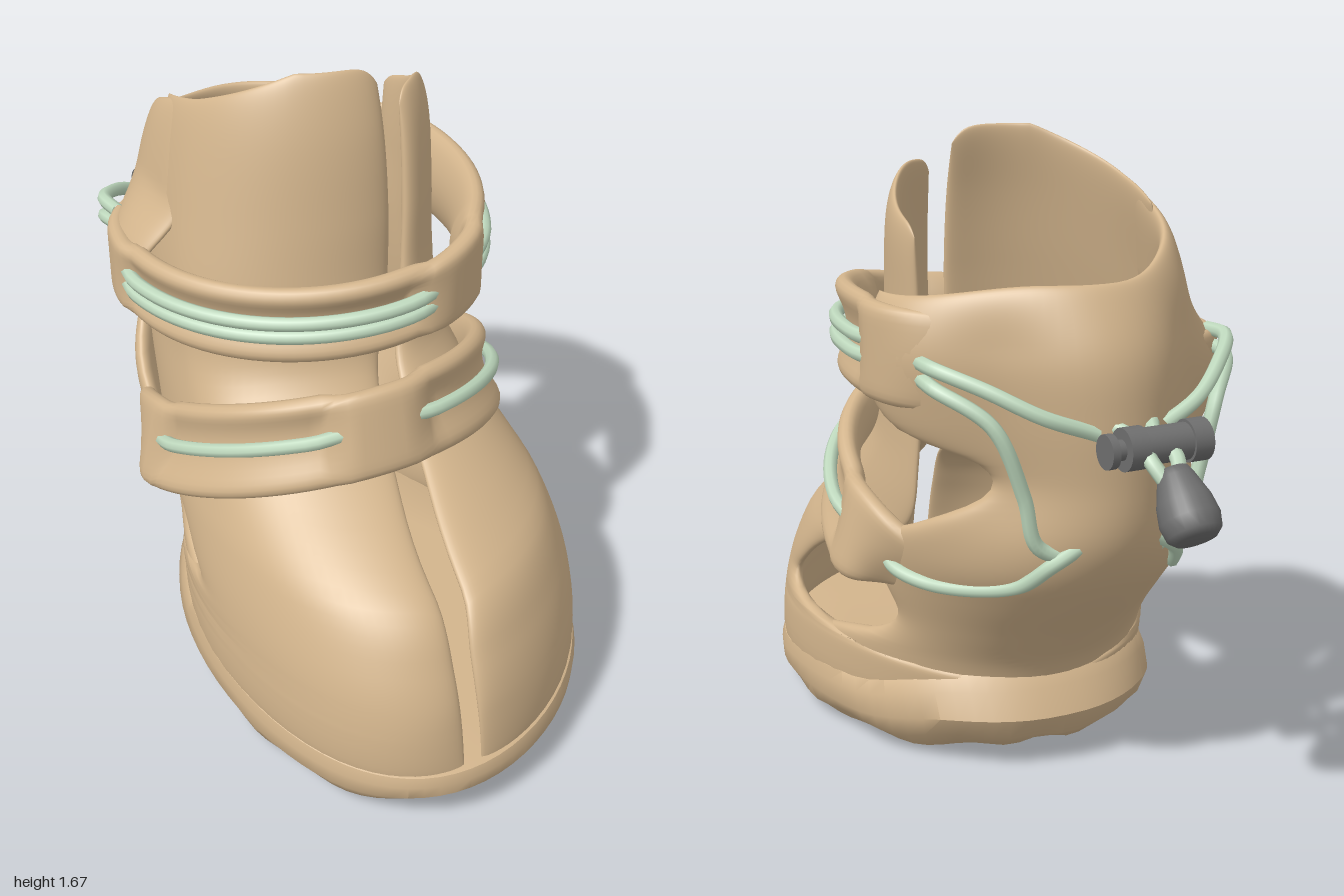
import * as THREE from 'three';
import { mergeVertices, toCreasedNormals } from 'three/addons/utils/BufferGeometryUtils.js';

const tan = new THREE.MeshStandardMaterial({ color: 0xd2b48c }); tan.name = 'tan shell';
const mint = new THREE.MeshStandardMaterial({ color: 0xbfd9be }); mint.name = 'mint cord';
const grey = new THREE.MeshStandardMaterial({ color: 0x6e6e6e }); grey.name = 'grey plastic';
const V = (x, y, z) => new THREE.Vector3(x, y, z);
const clamp = THREE.MathUtils.clamp;
const step = THREE.MathUtils.smoothstep;
const rad = Math.PI / 180;

// Smooth lookup in a table whose rows are [key, value, value, ...]
function sample(rows, k) {
  const n = rows.length - 1;
  k = clamp(k, rows[0][0], rows[n][0]);
  let i = 0;
  while (i < n - 1 && k > rows[i + 1][0]) i++;
  const a = rows[i], b = rows[i + 1], d = b[0] - a[0], t = (k - a[0]) / d;
  const slope = (j, c) => {
    const p = rows[Math.max(j - 1, 0)], q = rows[Math.min(j + 1, n)];
    return (q[c] - p[c]) / (q[0] - p[0]) * d;
  };
  return a.slice(1).map((v, c) => {
    const m0 = slope(i, c + 1), m1 = slope(i + 1, c + 1), w = b[c + 1];
    return (2 * t ** 3 - 3 * t * t + 1) * v + (t ** 3 - 2 * t * t + t) * m0 +
      (3 * t * t - 2 * t ** 3) * w + (t ** 3 - t * t) * m1;
  });
}

// Horizontal slices: y, centre x, half width, centre z, front reach, back reach, toe skew
const FOOT = [
  [0.14, 0, 0.5, 0.38, 0.6, 0.66, -0.12], [0.3, 0, 0.487, 0.36, 0.59, 0.68, -0.12],
  [0.42, 0, 0.472, 0.32, 0.585, 0.72, -0.11], [0.54, 0, 0.445, 0.25, 0.58, 0.75, -0.09],
  [0.6, 0, 0.425, 0.2, 0.52, 0.76, -0.07], [0.68, 0, 0.4, 0.12, 0.43, 0.72, -0.03],
  [0.76, 0, 0.385, 0.05, 0.35, 0.66, 0], [0.9, 0, 0.36, -0.06, 0.31, 0.6, 0.03],
  [1.1, 0, 0.35, -0.1, 0.31, 0.52, 0.04], [1.3, 0.02, 0.335, -0.14, 0.33, 0.46, 0.04],
  [1.5, 0.045, 0.315, -0.16, 0.32, 0.42, 0.02], [1.68, 0.06, 0.28, -0.16, 0.27, 0.38, 0]];
const HEEL = [
  [0.14, 0, 0.48, 0.38, 0.6, 0.64, 0], [0.3, 0, 0.475, 0.36, 0.6, 0.66, 0],
  [0.42, 0, 0.46, 0.32, 0.6, 0.71, 0], [0.54, 0, 0.455, 0.25, 0.6, 0.75, 0],
  [0.65, 0, 0.45, 0.12, 0.5, 0.71, 0], [0.75, 0, 0.445, 0, 0.5, 0.64, 0],
  [0.9, 0, 0.44, -0.1, 0.5, 0.56, 0], [1.05, 0.01, 0.455, -0.15, 0.5, 0.52, 0],
  [1.2, 0.02, 0.46, -0.18, 0.5, 0.48, 0], [1.37, 0.03, 0.4, -0.2, 0.5, 0.39, 0],
  [1.6, 0.04, 0.35, -0.2, 0.4, 0.35, 0]];

function around(table, th, y, scale = 1) {
  const [cx, rx, cz, rf, rb, skew] = sample(table, y), c = Math.cos(th);
  return V(cx + scale * rx * Math.sin(th) + skew * Math.max(c, 0) ** 2, y, cz + scale * c * (c > 0 ? rf : rb));
}
// Heel shell, pinched on both sides of the spine
function heelPoint(th, y) {
  const a = clamp((Math.acos(Math.cos(th)) - 105 * rad) / (75 * rad), 0, 1);
  const pinch = Math.sin(Math.PI * a) ** 2 * step(y, 0.6, 0.9) * (1 - 0.5 * step(y, 1.2, 1.37));
  return around(HEEL, th, y, 1 - 0.14 * pinch);
}
// Angle on a slice at which it reaches depth z
function angleAt(table, y, z) {
  const [, , cz, rf, rb] = sample(table, y);
  return Math.acos(clamp((z - cz) / (z > cz ? rf : rb), -1, 1));
}

// Closed sheet of half thickness h around the surface P(s, t), with rounded borders
function panel(name, P, h, ns, nt) {
  const pos = [], idx = [], e = 1e-3, size = (ns + 1) * (nt + 1);
  const ease = (i, n) => (1 - Math.cos(Math.PI * i / n)) / 2;
  const round = s => Math.sqrt(Math.max(0, 1 - Math.abs(2 * s - 1) ** 10));
  for (const side of [1, -1]) for (let j = 0; j <= nt; j++) for (let i = 0; i <= ns; i++) {
    const s = ease(i, ns), t = ease(j, nt);
    const ds = P(Math.min(s + e, 1), t).sub(P(Math.max(s - e, 0), t));
    const dt = P(s, Math.min(t + e, 1)).sub(P(s, Math.max(t - e, 0)));
    const edge = i % ns === 0 || j % nt === 0 ? 0 : round(s) * round(t);
    pos.push(...P(s, t).addScaledVector(ds.cross(dt).normalize(), side * h * edge).toArray());
  }
  for (let j = 0; j < nt; j++) for (let i = 0; i < ns; i++) {
    const a = j * (ns + 1) + i, b = a + 1, d = a + ns + 1, c = d + 1, k = size;
    idx.push(a, b, c, a, c, d, a + k, c + k, b + k, a + k, d + k, c + k);
  }
  return finish(name, pos, idx);
}
function finish(name, pos, idx, crease) {
  let g = new THREE.BufferGeometry();
  g.setAttribute('position', new THREE.Float32BufferAttribute(pos, 3));
  g.setIndex(idx);
  g = mergeVertices(g, 1e-5);
  g.computeVertexNormals();
  if (crease) g = toCreasedNormals(g, crease);
  return named(name, g, tan);
}
function named(name, geometry, material) {
  const m = new THREE.Mesh(geometry, material);
  m.name = name;
  return m;
}
const cord = (name, pts) =>
  named(name, new THREE.TubeGeometry(new THREE.CatmullRomCurve3(pts), 56, 0.019, 8), mint);

// Sole: rings from the bottom centre, out around the wall and over the top
function sole() {
  const N = 72, pos = [], idx = [];
  const rings = [[0, 0], [0.25, 0], [0.5, 0], [0.7, 0], [0.87, 0], [0.96, 0.2], [1, 0.45], [1.005, 0.75],
    [0.99, 0.95], [0.965, 1], [0.6, 1], [0, 1]];
  for (const [k, lift] of rings) for (let i = 0; i < N; i++) {
    const th = i / N * 2 * Math.PI, c = Math.cos(th), s = Math.sin(th);
    const back = c < 0 ? 0.75 - 0.07 * step(lift, 0.4, 1) : 0.62;
    const x = k * (0.515 * Math.sign(s) * Math.abs(s) ** (c < 0 ? 0.9 : 1) - 0.12 * Math.max(c, 0) ** 2);
    const z = 0.38 + k * c * back;
    const top = 0.165 + 0.03 * step(-z, -0.6, 0) + 0.09 * step(-z, -0.05, 0.27);
    const low = 0.03 * step(z, 0.75, 1) + 0.035 * step(-z, 0.05, 0.35);
    const wave = k < 0.98 && lift < 0.3 ? Math.sin(z * 21 + 3 * Math.sin(x * 7)) * Math.cos(x * 13) : 0;
    const bottom = low + 0.015 * (1 + wave);
    pos.push(x, Math.max(0, bottom + (top - bottom) * lift), z);
  }
  for (let j = 0; j < rings.length - 1; j++) for (let i = 0; i < N; i++) {
    const a = j * N + i, b = j * N + (i + 1) % N;
    idx.push(a, b, b + N, a, b + N, a + N);
  }
  return finish('sole', pos, idx, 0.7);
}

// Front halves: vamp rising into an ankle flap, parted by a slanting slit; the right one reaches further back
const SLIT = [[0.14, -0.145, 0.026], [0.45, -0.135, 0.028], [0.6, -0.095, 0.04], [0.75, 0.005, 0.04],
  [0.95, 0.085, 0.03], [1.15, 0.125, 0.03], [1.7, 0.14, 0.035]];
const LEFT_OPENING = [[0.14, -0.28], [0.24, -0.28], [0.28, -0.15], [0.315, 0.25], [0.36, 0.42], [0.42, 0.39],
  [0.54, 0.2], [0.61, -0.05], [0.7, -0.17], [0.85, -0.2], [1.7, -0.22]];
const RIGHT_OPENING = [[0.14, -0.28], [0.27, -0.28], [0.3, -0.1], [0.34, 0.16], [0.41, 0.1], [0.48, 0.0],
  [0.55, -0.15], [0.65, -0.25], [0.8, -0.36], [1.2, -0.36], [1.7, -0.33]];
function frontHalf(side) {
  const P = (s, t) => {
    const q = side > 0 ? s : 1 - s;
    const corner = Math.abs(2 * q - 1) ** 12;
    const top = side > 0 ? 1.595 - 0.11 * step(q, 0.2, 1) - 0.04 * corner
      : 1.675 - 0.17 * clamp((q - 0.35) / 0.65, 0, 1) - (q < 0.5 ? 0.05 * corner : 0);
    const y = 0.14 + (top - 0.14) * t;
    const [cx, rx, , , , skew] = sample(FOOT, y), [sx, gap] = sample(SLIT, y);
    const start = Math.asin(clamp((sx + side * gap - cx - skew) / rx, -1, 1));
    const end = side * angleAt(FOOT, y, sample(side > 0 ? LEFT_OPENING : RIGHT_OPENING, y)[0]);
    return around(FOOT, start + (end - start) * q, y);
  };
  return panel(side > 0 ? 'leftVampAndFlap' : 'rightVampAndFlap', P, 0.022, 40, 90);
}

// Heel counter, waisted between the straps; its right rim runs into the right flap
const LEFT_EDGE = [[0.18, 0.3], [0.3, 0.2], [0.345, 0], [0.42, -0.1], [0.55, -0.08], [0.66, -0.12], [0.74, -0.3],
  [0.84, -0.49], [0.93, -0.47], [1.01, -0.25], [1.1, -0.18], [1.6, -0.24]];
const RIGHT_EDGE = [[0.18, 0.3], [0.32, 0.15], [0.36, 0], [0.43, -0.08], [0.55, -0.08], [0.66, -0.12],
  [0.74, -0.26], [0.84, -0.4], [0.93, -0.4], [1.01, -0.25], [1.1, -0.18], [1.6, -0.24]];
function heelCounter() {
  const P = (s, t) => {
    const top = 1.37 + (s > 0.5 ? 0.17 * step(s, 0.52, 1.05) : -0.05 * step(1 - s, 0.6, 1));
    const y = 0.18 + (top - 0.18) * t;
    const half = Math.PI - angleAt(HEEL, y, sample(s > 0.5 ? RIGHT_EDGE : LEFT_EDGE, y)[0]);
    const th = Math.PI + (2 * s - 1) * half;
    return heelPoint(th, y).lerp(around(FOOT, th, y), step(s, 0.6, 0.95) * step(y, 1.08, 1.3));
  };
  return panel('heelCounter', P, 0.03, 64, 70);
}

// Straps: a band at angle th and height v (-1..1), hollowed where the cord lies, ending in the heel shell
const groove = (th, bridge, half, end) =>
  step(Math.abs(th - bridge * rad), half * rad, (half + 8) * rad) * (1 - step(Math.abs(th), (end - 8) * rad, end * rad));
const intoHeel = (p, th, from) => p.lerp(heelPoint(th, p.y), step(Math.abs(th), from * rad, 126 * rad));
function upperStrap(th, v, hollow = 0.045) {
  const c = Math.cos(th), s = Math.sin(th);
  const r = 1 - hollow * 2 * groove(th, 17, 11, 98) * (1 - v * v);
  return intoHeel(V(0.02 + r * (0.468 * s + 0.05 * Math.max(c, 0) ** 2),
    1.13 + 0.055 * s + v * (0.1 + 0.025 * Math.max(s, 0)), -0.17 + r * c * (c > 0 ? 0.55 : 0.47)), th, 104);
}
function lowerStrap(th, v, hollow = 0.045) {
  const c = Math.cos(th), s = Math.sin(th), z = c * (c > 0 ? 0.5 : 0.62);
  const r = 1 - hollow * 2 * groove(th, -10, 11, 93) * (1 - v * v);
  const half = (0.112 + 0.015 * s * s) * (1 - 0.35 * step(Math.abs(th), 90 * rad, 125 * rad));
  return intoHeel(V(r * 0.48 * s - 0.03 * Math.max(c, 0) ** 2 - v * 0.03 * s,
    0.67 + (z > 0 ? 0.42 : 0.22) * z + v * half, r * z - 0.03 * v * Math.max(c, 0)), th, 92);
}
const strap = (name, f) =>
  panel(name, (s, t) => f((2 * s - 1) * 132 * rad, 2 * t - 1), 0.028, 100, 16);
function strapCord(name, f, v, reach) {
  const pts = [];
  for (let i = -12; i <= 12; i++) {
    const a = i / 12 * reach * rad;
    // Rides high in the grooves and dips into the holes at both ends
    pts.push(f(a, v, -0.012 + 0.03 * step(Math.abs(a), (reach - 9) * rad, reach * rad)));
  }
  return cord(name, pts);
}

// Point off the heel counter at height y and depth z
function onHeel(side, y, z, off = 0.035) {
  const p = around(HEEL, side * angleAt(HEEL, y, z), y);
  return p.addScaledVector(V(p.x, 0, p.z + 0.15).normalize(), off);
}

export function createModel() {
  const model = new THREE.Group();
  model.name = 'strappedShoe';
  model.add(sole(), frontHalf(1), frontHalf(-1), heelCounter(),
    strap('upperStrap', upperStrap), strap('lowerStrap', lowerStrap),
    strapCord('upperStrapCordHigh', upperStrap, 0.19, 98),
    strapCord('upperStrapCordLow', upperStrap, -0.19, 98),
    strapCord('lowerStrapCord', lowerStrap, 0.12, 92));

  // Lacing around the heel, mirrored
  for (const d of [1, -1]) {
    model.add(
      cord('heelCordTop', [onHeel(d, 1.18, -0.39, -0.01), onHeel(d, 1.18, -0.45, 0.03), onHeel(d, 1.14, -0.55, 0.03),
        onHeel(d, 1.08, -0.62, 0.03), V(d * 0.09, 1.03, -0.67)]),
      cord('heelCordSide', [onHeel(d, 1.14, -0.39, -0.01), onHeel(d, 1.13, -0.45, 0.03), onHeel(d, 1.05, -0.55, 0.03),
        onHeel(d, 0.87, -0.57, 0.02), onHeel(d, 0.74, -0.57, 0.02), V(d * 0.1, 0.69, -0.6)]),
      cord('heelCordLow', [onHeel(d, 0.62, -0.12, 0), onHeel(d, 0.59, -0.19), onHeel(d, 0.57, -0.3),
        onHeel(d, 0.61, -0.48), onHeel(d, 0.69, -0.57), V(d * 0.09, 0.74, -0.62)]),
      cord('pullCord', [V(d * 0.06, 1.05, -0.66), V(d * 0.035, 1.035, -0.71), V(d * 0.025, 1.02, -0.77),
        V(d * 0.035, 1.0, -0.82), V(d * 0.015, 0.95, -0.87)]));
  }

  // Cord lock: barrel with end collars and a push button
  const lock = new THREE.Group();
  lock.name = 'cordLock';
  for (const [name, r, len, x] of [['barrel', 0.045, 0.2, -0.01], ['leftCollar', 0.052, 0.05, 0.07],
    ['rightCollar', 0.052, 0.05, -0.1], ['buttonStem', 0.025, 0.05, 0.11], ['button', 0.042, 0.02, 0.13]]) {
    const m = named(name, new THREE.CylinderGeometry(r, r, len, 24), grey);
    m.rotation.z = Math.PI / 2;
    m.position.x = x;
    lock.add(m);
  }
  lock.position.set(-0.01, 1.02, -0.775);
  model.add(lock);

  // Bell-shaped cord end
  const bell = named('cordEnd', new THREE.LatheGeometry([[0, -0.085], [0.05, -0.085], [0.066, -0.07],
    [0.073, -0.035], [0.066, 0.01], [0.045, 0.07], [0.035, 0.09], [0, 0.092]].map(p => new THREE.Vector2(...p)), 24), grey);
  bell.position.set(-0.01, 0.91, -0.902);
  bell.rotation.x = 0.68;
  model.add(bell);
  return model;
}
